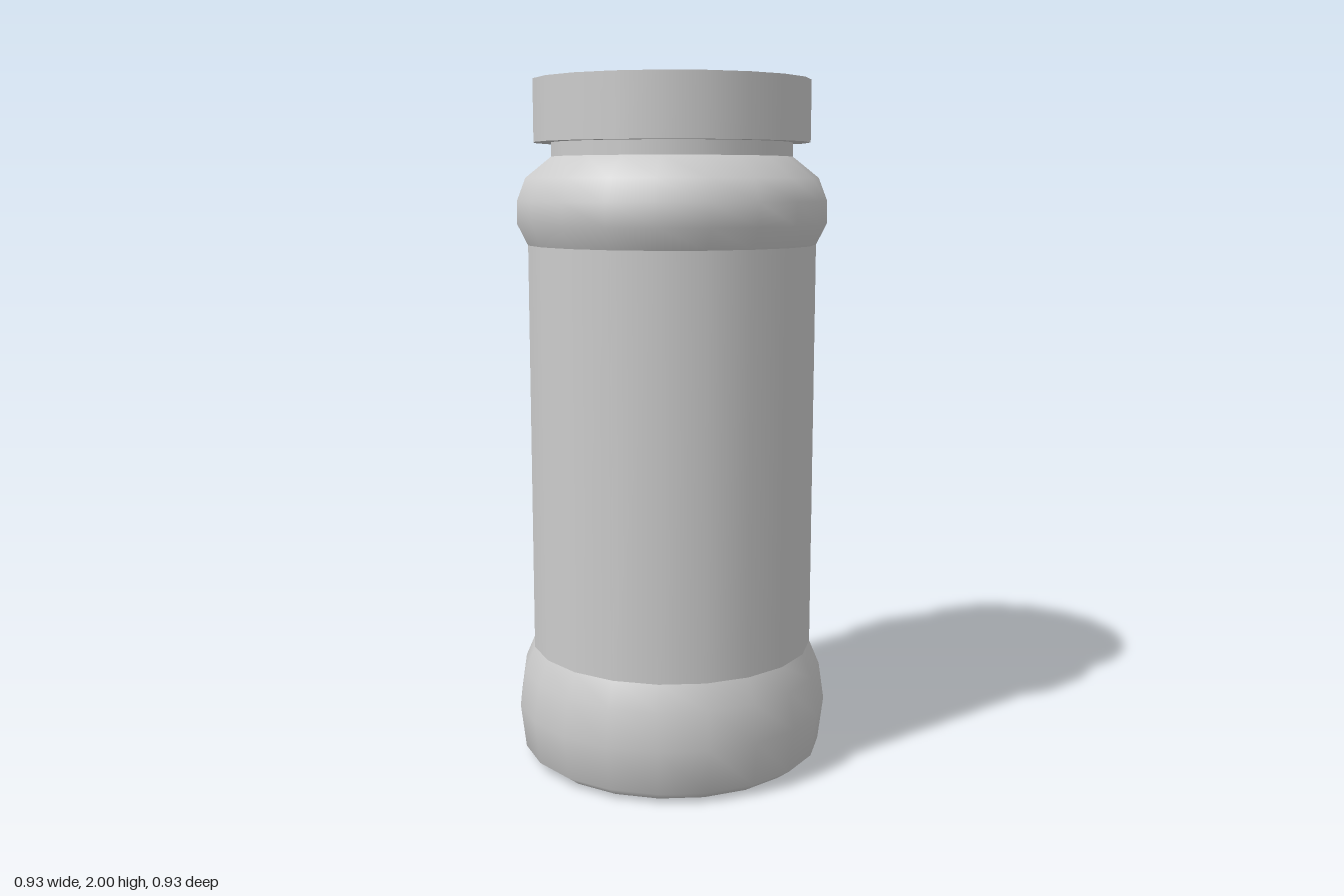
import * as THREE from 'three';

const SIDES = 20;

export function createModel() {
  const jar = new THREE.Group();
  jar.name = 'jar';
  const material = new THREE.MeshStandardMaterial({ color: 0xcccccc });

  const add = (name, geometry, y = 0) => {
    const mesh = new THREE.Mesh(geometry, material);
    mesh.name = name;
    mesh.position.y = y;
    jar.add(mesh);
  };
  // Smooth turned band, profile given bottom to top as [radius, height]
  const turned = (name, profile) =>
    add(name, new THREE.LatheGeometry(profile.map(([r, y]) => new THREE.Vector2(r, y)), SIDES));
  // Straight round section between two heights
  const drum = (name, radius, bottom, top, open) =>
    add(name, new THREE.CylinderGeometry(radius, radius, top - bottom, SIDES, 1, open), (bottom + top) / 2);

  // Flat underside
  const underside = new THREE.CircleGeometry(0.41, SIDES);
  underside.rotateZ(Math.PI / 2).rotateX(Math.PI / 2);
  add('underside', underside);

  // Bulging foot, straight body and rounded shoulder
  turned('foot', [[0.41, 0], [0.45, 0.03], [0.466, 0.16], [0.45, 0.27], [0.42, 0.34]]);
  drum('body', 0.42, 0.34, 1.535, true);
  turned('shoulder', [[0.42, 1.535], [0.45, 1.595], [0.45, 1.66], [0.425, 1.725], [0.35, 1.785]]);

  // Neck and overhanging lid
  drum('neck', 0.35, 1.785, 1.825, true);
  drum('lid', 0.4, 1.825, 2, false);

  return jar;
}
